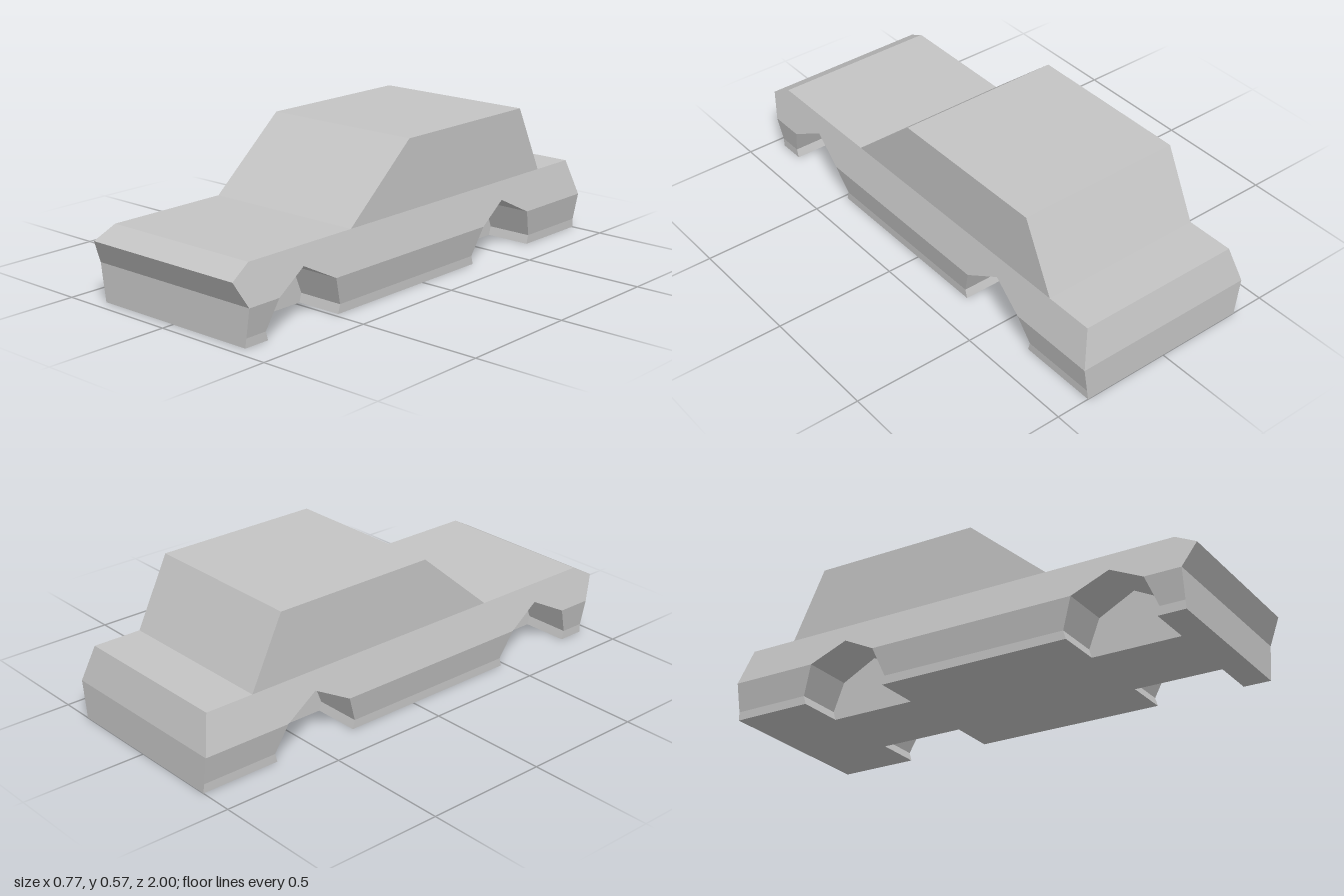
import * as THREE from 'three';
import { mergeGeometries } from 'three/addons/utils/BufferGeometryUtils.js';

// Half width of the car at each height, as [y, halfWidth]
const WIDTHS = [[0, 0.362], [0.035, 0.362], [0.15, 0.385], [0.296, 0.343], [0.573, 0.343]];
const SILL = 0.035, BELT = 0.15, DECK = 0.296, ROOF = 0.573;
const ARCH_INNER = 0.17;
const FRONT_AXLE = 0.66, REAR_AXLE = -0.49;
const NOSE = 0.95, TAIL = -1;

// Wheel arch outline from rear to front, as [z offset, y]
const ARCH = [[-0.18, 0], [-0.19, SILL], [-0.145, BELT], [0, 0.225], [0.145, BELT], [0.19, SILL], [0.18, 0]];
const archAt = (axle) => ARCH.map(([dz, y]) => [axle + dz, y]);

function halfWidth(y) {
  for (let i = 1; i < WIDTHS.length; i++) {
    const [y0, w0] = WIDTHS[i - 1], [y1, w1] = WIDTHS[i];
    if (y <= y1) return w0 + (w1 - w0) * (y - y0) / (y1 - y0);
  }
  return WIDTHS[WIDTHS.length - 1][1];
}

// Flat polygon, each 2D corner placed in space by a mapping
function panel(points, place, flip = false) {
  const shape = new THREE.Shape(points.map(([a, b]) => new THREE.Vector2(a, b)));
  const geo = new THREE.ShapeGeometry(shape);
  const pos = geo.attributes.position;
  for (let i = 0; i < pos.count; i++) pos.setXYZ(i, ...place(pos.getX(i), pos.getY(i)));
  if (flip) geo.setIndex(Array.from(geo.index.array).reverse());
  geo.deleteAttribute('uv');
  const flat = geo.toNonIndexed();
  flat.computeVertexNormals();
  return flat;
}

// Side panel facing outward, following the width of the car
const sidePanel = (points, side, width = halfWidth) =>
  panel(points, (z, y) => [side * width(y), y, z], side > 0);

// Crosswise strip along a [z, y] path, spanning left(y) to right(y)
function strip(path, left, right) {
  const v = [];
  for (let i = 1; i < path.length; i++) {
    const [za, ya] = path[i - 1], [zb, yb] = path[i];
    const a = [left(ya), ya, za], b = [right(ya), ya, za];
    const c = [right(yb), yb, zb], d = [left(yb), yb, zb];
    v.push(...a, ...b, ...c, ...a, ...c, ...d);
  }
  const geo = new THREE.BufferGeometry();
  geo.setAttribute('position', new THREE.Float32BufferAttribute(v, 3));
  geo.computeVertexNormals();
  return geo;
}
const fullStrip = (path) => strip(path, (y) => -halfWidth(y), halfWidth);

export function createModel() {
  const paint = new THREE.MeshStandardMaterial({ color: 0xc4c4c4, flatShading: true });
  paint.name = 'grey paint';
  const car = new THREE.Group();
  car.name = 'car';
  const add = (name, geos) => {
    const mesh = new THREE.Mesh(mergeGeometries(geos), paint);
    mesh.name = name;
    car.add(mesh);
  };

  // Front end with bonnet, and boot with rear end
  add('frontEnd', [fullStrip([[NOSE, 0], [NOSE, BELT], [1, 0.247], [0.91, DECK], [0.39, DECK]])]);
  add('rearEnd', [fullStrip([[-0.76, DECK], [-0.96, DECK], [TAIL, BELT], [TAIL, 0]])]);

  // Cabin: windscreen, roof, rear window and both sides
  const cabin = [[0.39, DECK], [0.065, ROOF], [-0.625, ROOF], [-0.76, DECK]];
  add('cabin', [fullStrip(cabin), sidePanel(cabin, 1), sidePanel(cabin, -1)]);

  // Body sides in three bands, cut out around the arches
  const frontArch = archAt(FRONT_AXLE), rearArch = archAt(REAR_AXLE);
  const upper = [
    [NOSE, BELT], [1, 0.247], [0.91, DECK], [-0.96, DECK], [TAIL, BELT],
    ...rearArch.slice(2, 5), ...frontArch.slice(2, 5),
  ];
  const sections = [
    [[[TAIL, 0], [TAIL, SILL], [TAIL, BELT]], rearArch.slice(0, 3)],
    [rearArch.slice(4).reverse(), frontArch.slice(0, 3)],
    [frontArch.slice(4).reverse(), [[NOSE, 0], [NOSE, SILL], [NOSE, BELT]]],
  ];
  for (const side of [1, -1]) {
    const geos = [sidePanel(upper, side)];
    for (const [back, front] of sections) {
      for (const i of [0, 1]) geos.push(sidePanel([back[i], front[i], front[i + 1], back[i + 1]], side));
    }
    add(side > 0 ? 'leftSide' : 'rightSide', geos);
  }

  // Wheel arches: lining and inner wall
  for (const [end, arch] of [['front', frontArch], ['rear', rearArch]]) {
    for (const side of [1, -1]) {
      const lining = side > 0
        ? strip(arch, () => ARCH_INNER, halfWidth)
        : strip(arch, (y) => -halfWidth(y), () => -ARCH_INNER);
      add(`${end}${side > 0 ? 'Left' : 'Right'}WheelArch`, [lining, sidePanel(arch, side, () => ARCH_INNER)]);
    }
  }

  // Underside with notches for the wheels
  const w = halfWidth(0);
  const edge = [[w, TAIL]];
  for (const axle of [REAR_AXLE, FRONT_AXLE]) {
    const z0 = axle - 0.18, z1 = axle + 0.18;
    edge.push([w, z0], [ARCH_INNER, z0], [ARCH_INNER, z1], [w, z1]);
  }
  edge.push([w, NOSE]);
  const mirrored = edge.map(([x, z]) => [-x, z]).reverse();
  add('underside', [panel([...edge, ...mirrored], (x, z) => [x, 0, z])]);

  return car;
}
